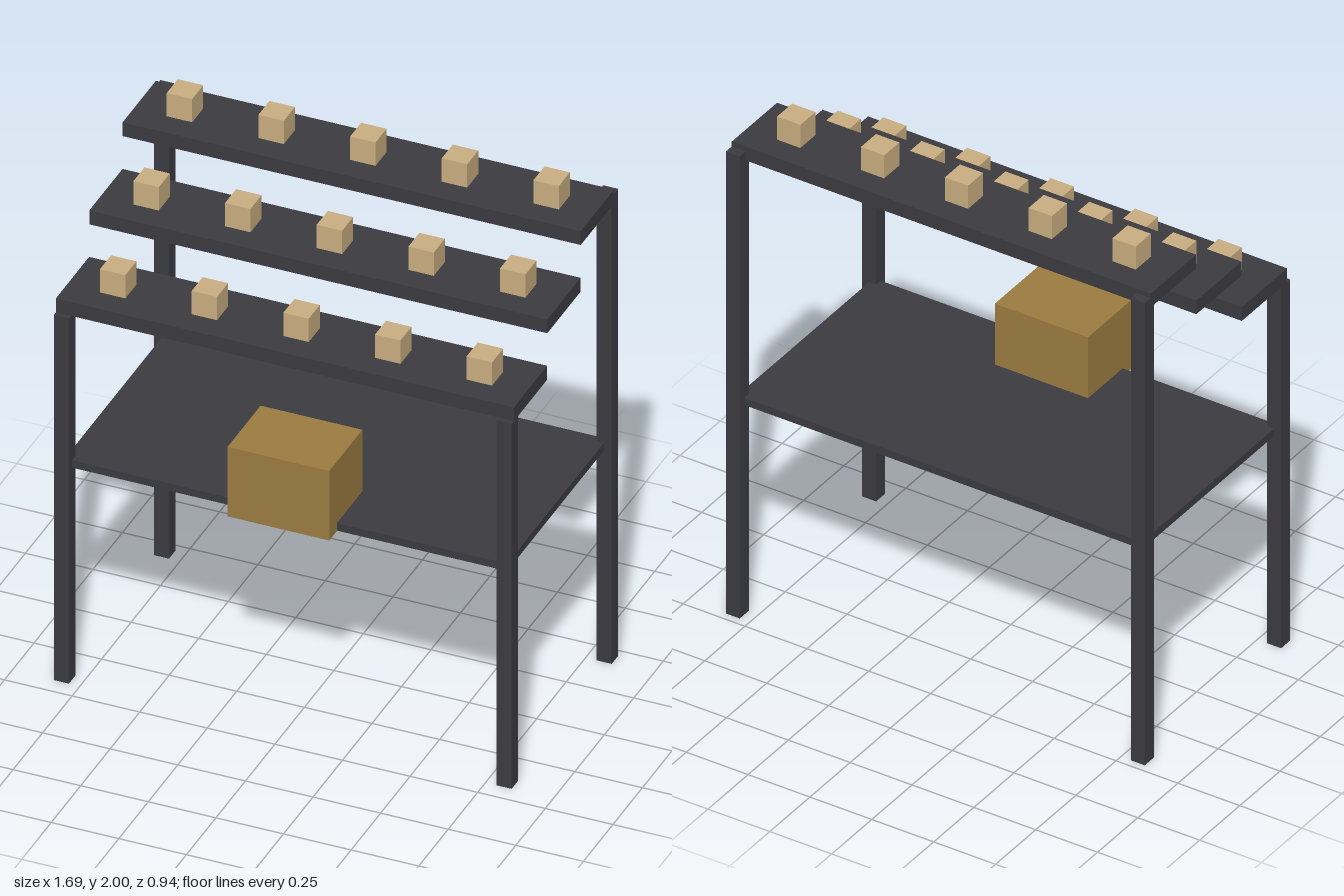
import * as THREE from 'three';

export function createModel() {
  const model = new THREE.Group();
  model.name = 'tieredDisplayStand';

  const material = (name, color) => {
    const m = new THREE.MeshStandardMaterial({ color });
    m.name = name;
    return m;
  };
  const darkMetal = material('dark metal', 0x3c3b40);
  const paleWood = material('pale wood', 0xc8ad80);
  const brownCard = material('brown card', 0x9b7c40);

  // Adds a box given its minimum and maximum along each axis
  const addBox = (name, mat, [x0, x1], [y0, y1], [z0, z1]) => {
    const mesh = new THREE.Mesh(new THREE.BoxGeometry(x1 - x0, y1 - y0, z1 - z0), mat);
    mesh.name = name;
    mesh.position.set((x0 + x1) / 2, (y0 + y1) / 2, (z0 + z1) / 2);
    model.add(mesh);
  };

  // Legs: short pair in front, tall pair behind
  for (const [side, x] of [['Left', 0.8185], ['Right', -0.8185]]) {
    const span = [x - 0.028, x + 0.028];
    addBox('frontLeg' + side, darkMetal, span, [0, 1.475], [0.378, 0.434]);
    addBox('backLeg' + side, darkMetal, span, [0, 1.887], [-0.47, -0.414]);
  }

  // Three stepped shelves, each with a row of five small blocks
  const tiers = [
    { name: 'lower', top: 1.531, z: 0.274 },
    { name: 'middle', top: 1.718, z: -0.009 },
    { name: 'upper', top: 1.906, z: -0.292 },
  ];
  for (const { name, top, z } of tiers) {
    addBox(name + 'Shelf', darkMetal, [-0.847, 0.847], [top - 0.056, top], [z - 0.141, z + 0.141]);
    for (let i = -2; i <= 2; i++) {
      const x = i * 0.339;
      addBox(name + 'Block' + (i + 3), paleWood, [x - 0.047, x + 0.047], [top, top + 0.094], [z - 0.047, z + 0.047]);
    }
  }

  // Wide counter board between the legs, with the box set into its front edge
  addBox('counterBoard', darkMetal, [-0.818, 0.818], [0.856, 0.886], [-0.442, 0.406]);
  addBox('counterBox', brownCard, [-0.188, 0.188], [0.854, 1.135], [0.19, 0.47]);

  return model;
}
